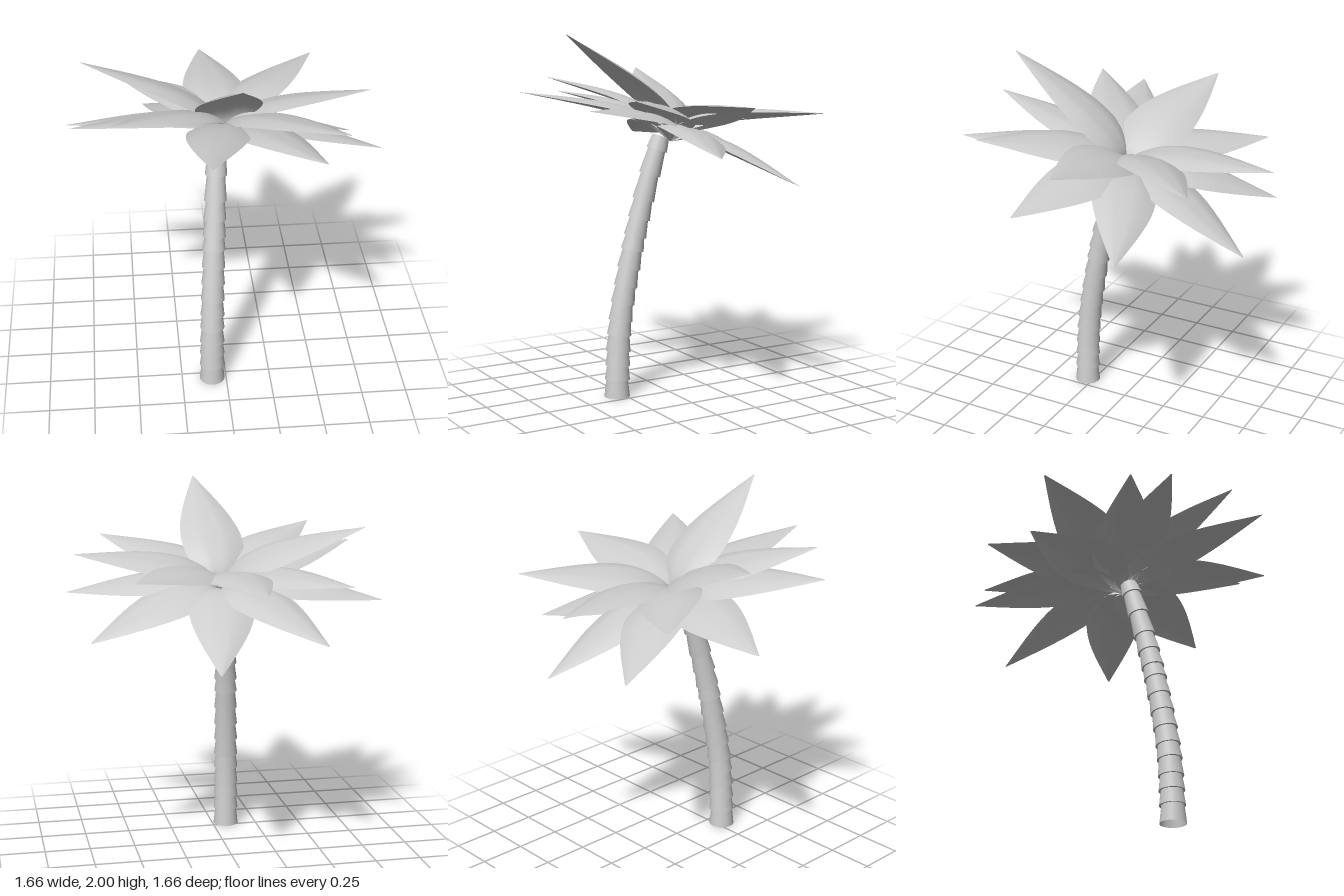
import * as THREE from 'three';

const material = new THREE.MeshStandardMaterial({ color: 0xcccccc, side: THREE.DoubleSide });

// The crown leans back with the top of the trunk
const crownUp = new THREE.Vector3(0, 0.96, -0.28);

// Arched leaf blade from the crown centre to its tip
function createFrond(base, tip) {
  const along = tip.clone().sub(base);
  const side = along.clone().cross(crownUp).normalize();
  const up = side.clone().cross(along).normalize();
  const geometry = new THREE.PlaneGeometry(2, 1, 8, 20);
  const pos = geometry.attributes.position;
  const p = new THREE.Vector3();
  for (let i = 0; i < pos.count; i++) {
    const u = pos.getX(i);
    const t = pos.getY(i) + 0.5;
    const width = 0.004 + 0.168 * Math.sin(Math.PI * Math.pow(t, 0.66));
    const arch = 0.105 * Math.sin(Math.PI * Math.pow(t, 0.58));
    // Edges droop from the midrib, which is a shallow groove
    const fold = -0.24 * width * u * u - 0.04 * width * Math.max(0, 1 - 4 * Math.abs(u));
    p.copy(base).addScaledVector(along, t)
      .addScaledVector(side, u * width)
      .addScaledVector(up, arch + fold);
    pos.setXYZ(i, p.x, p.y, p.z);
  }
  geometry.computeVertexNormals();
  return new THREE.Mesh(geometry, material);
}

// Curved trunk of stacked rings, each flared at its foot
function createTrunk() {
  const trunk = new THREE.Group();
  trunk.name = 'trunk';
  const path = new THREE.CatmullRomCurve3([
    [-0.079, 0, 0.29], [-0.075, 0.4, 0.27], [-0.06, 0.8, 0.203],
    [-0.045, 1.1, 0.135], [-0.035, 1.3, 0.08], [-0.024, 1.44, 0.037],
  ].map((a) => new THREE.Vector3(...a)));
  const levels = [0, 0.1, 0.18, 0.26, 0.35, 0.43, 0.525, 0.62, 0.72,
    0.825, 0.9, 0.995, 1.1, 1.235, 1.37, 1.44];
  const yAxis = new THREE.Vector3(0, 1, 0);
  // Samples used to find the trunk centre at a given height
  const samples = path.getPoints(300);
  const centreAt = (y) => samples.find((s) => s.y >= y - 1e-6);
  for (let i = 0; i < levels.length - 1; i++) {
    const a = centreAt(levels[i]);
    const b = centreAt(levels[i + 1]);
    const dir = b.clone().sub(a);
    const foot = 0.071 - 0.009 * levels[i];
    // Only the lowest ring is open underneath
    const ring = new THREE.Mesh(
      new THREE.CylinderGeometry(foot - 0.012, foot, dir.length() + 0.006, 28, 1, i === 0), material);
    ring.name = 'trunkRing';
    ring.position.copy(a).add(b).multiplyScalar(0.5);
    // The lowest ring stands flat on the ground
    if (i === 0) ring.position.y += 0.003;
    else ring.quaternion.setFromUnitVectors(yAxis, dir.normalize());
    trunk.add(ring);
  }
  return trunk;
}

// Fronds fan out from one point at the head of the trunk
function createCrown(name, baseHeight, tips) {
  const crown = new THREE.Group();
  crown.name = name;
  const base = new THREE.Vector3(0.01, baseHeight, -0.005);
  for (const tip of tips) {
    const frond = createFrond(base, new THREE.Vector3(...tip));
    frond.name = 'frond';
    crown.add(frond);
  }
  return crown;
}

export function createModel() {
  const model = new THREE.Group();
  model.name = 'palmTree';
  model.add(createTrunk());

  // Tips of the raised fronds
  model.add(createCrown('upperFronds', 1.435, [
    [-0.06, 1.53, -0.83], [0.56, 1.58, -0.63], [0.8, 1.65, -0.015], [0.6, 1.69, 0.54],
    [0.045, 2.0, 0.635], [-0.59, 1.75, 0.45], [-0.735, 1.78, -0.21], [-0.565, 1.52, -0.595],
  ]));

  // Tips of the drooping fronds
  model.add(createCrown('lowerFronds', 1.415, [
    [0.16, 1.13, -0.77], [0.755, 1.23, -0.335], [0.83, 1.415, 0.2], [0.455, 1.64, 0.72],
    [-0.115, 1.705, 0.83], [-0.79, 1.655, 0.285], [-0.83, 1.39, -0.24], [-0.4, 1.245, -0.725],
  ]));

  return model;
}
